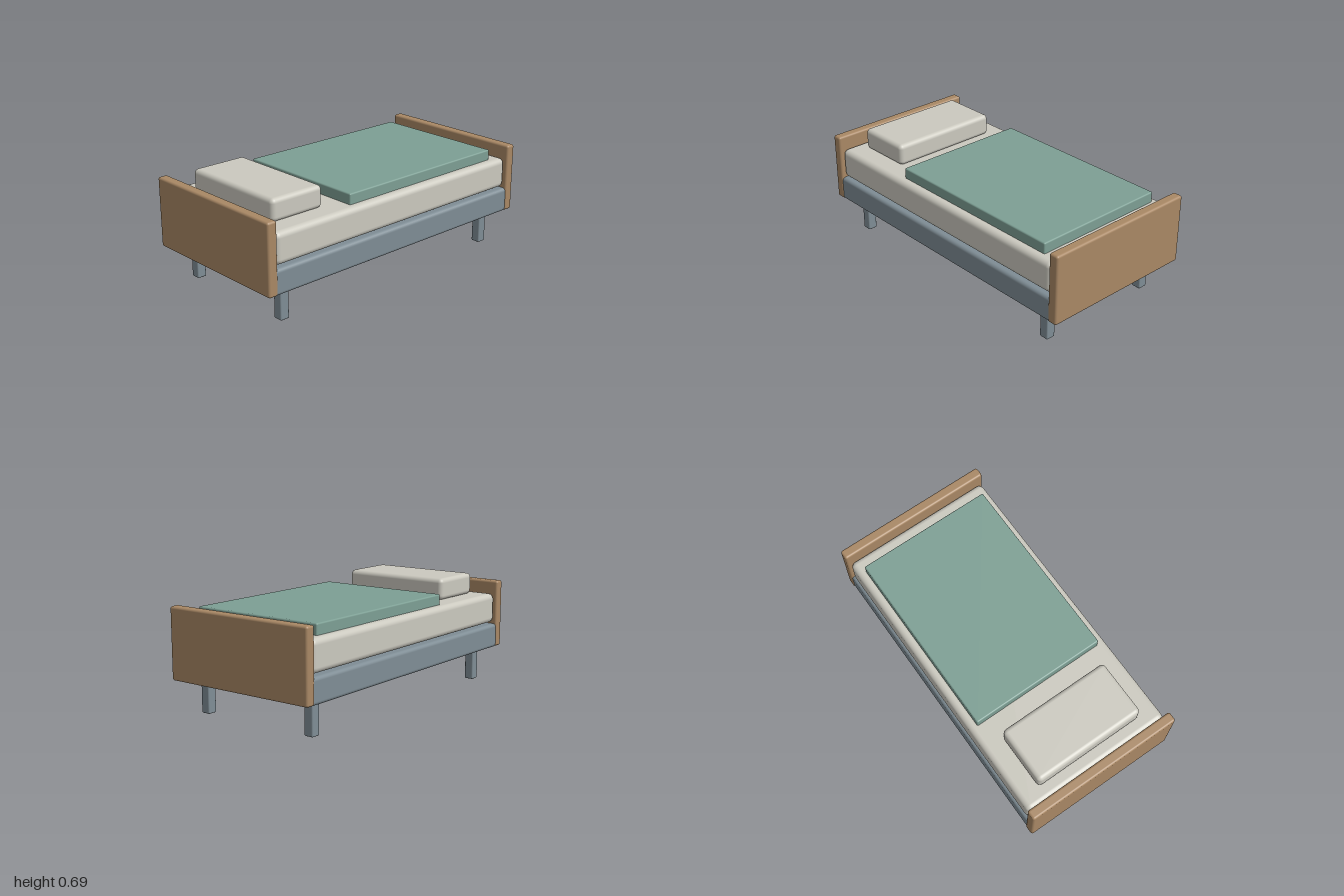
import * as THREE from 'three';
import { RoundedBoxGeometry } from 'three/addons/geometries/RoundedBoxGeometry.js';

const paint = (name, color) => {
  const m = new THREE.MeshStandardMaterial({ color });
  m.name = name;
  return m;
};

export function createModel() {
  const bed = new THREE.Group();
  bed.name = 'bed';
  const wood = paint('wood', 0xa98865);
  const metal = paint('greyMetal', 0x7f8d95);
  const linen = paint('linen', 0xcbc9bf);
  const wool = paint('greenWool', 0x7d9f94);

  // Rounded block given by its extents on each axis
  const block = (name, material, [x0, x1], [y0, y1], [z0, z1], radius) => {
    const geometry = new RoundedBoxGeometry(x1 - x0, y1 - y0, z1 - z0, 4, radius);
    const mesh = new THREE.Mesh(geometry, material);
    mesh.name = name;
    mesh.position.set((x0 + x1) / 2, (y0 + y1) / 2, (z0 + z1) / 2);
    bed.add(mesh);
  };

  // Base and bedding
  block('bedFrame', metal, [-0.495, 0.495], [0.203, 0.357], [-0.965, 0.965], 0.022);
  block('mattress', linen, [-0.485, 0.485], [0.367, 0.557], [-0.936, 0.936], 0.035);
  block('blanket', wool, [-0.433, 0.433], [0.545, 0.622], [-0.837, 0.357], 0.009);
  block('pillow', linen, [-0.357, 0.357], [0.555, 0.69], [0.492, 0.852], 0.028);

  // Headboard at the front, footboard at the back
  block('headboard', wood, [-0.5, 0.5], [0.208, 0.638], [0.937, 1], 0.014);
  block('footboard', wood, [-0.5, 0.5], [0.208, 0.638], [-1, -0.937], 0.014);

  // Four square legs
  for (const [side, x] of [['left', 0.384], ['right', -0.384]]) {
    for (const [end, z] of [['Front', 0.825], ['Back', -0.825]]) {
      block(`${side}${end}Leg`, metal, [x - 0.03, x + 0.03], [0, 0.22], [z - 0.03, z + 0.03], 0.008);
    }
  }
  return bed;
}
